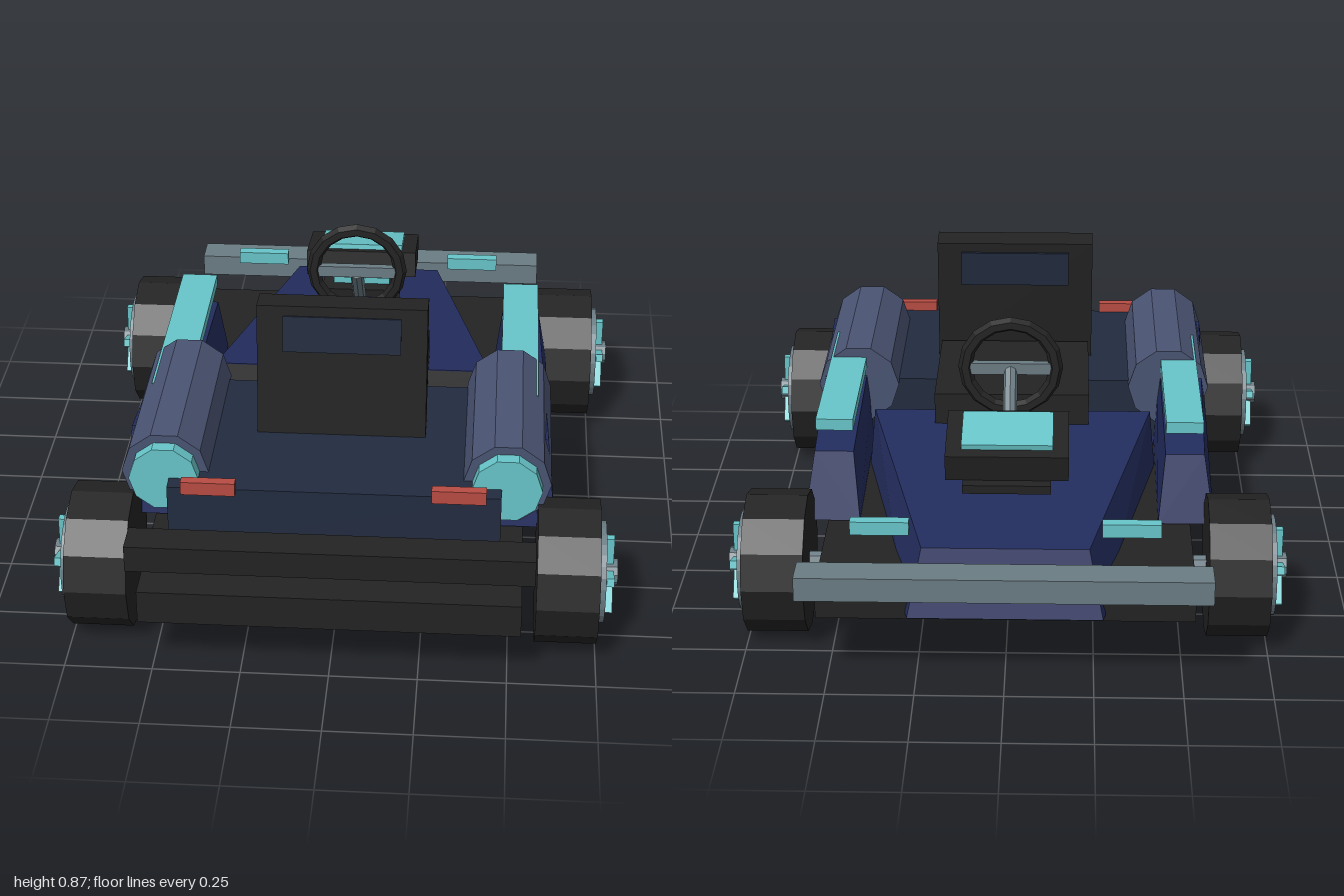
import * as THREE from 'three';
import { ConvexGeometry } from 'three/addons/geometries/ConvexGeometry.js';

const paint = (name, color) => {
  const m = new THREE.MeshStandardMaterial({ color, flatShading: true });
  m.name = name;
  return m;
};

export function createModel() {
  const black = paint('black', 0x232323);
  const navy = paint('navy', 0x232d5e);
  const slate = paint('darkSlate', 0x222c40);
  const steelBlue = paint('steelBlue', 0x4a5473);
  const teal = paint('teal', 0x68c6ca);
  const grey = paint('grey', 0x6b7c84);
  const red = paint('red', 0xb84c42);

  const kart = new THREE.Group();
  kart.name = 'kart';

  const add = (name, geometry, material, parent = kart) => {
    const mesh = new THREE.Mesh(geometry, material);
    mesh.name = name;
    parent.add(mesh);
    return mesh;
  };
  // Box given by its extents on each axis
  const box = (name, material, [x0, x1], [y0, y1], [z0, z1], parent) => {
    const mesh = add(name, new THREE.BoxGeometry(x1 - x0, y1 - y0, z1 - z0), material, parent);
    mesh.position.set((x0 + x1) / 2, (y0 + y1) / 2, (z0 + z1) / 2);
    return mesh;
  };
  const hull = (name, material, points) =>
    add(name, new ConvexGeometry(points.map((p) => new THREE.Vector3(...p))), material);
  const pair = (x, y, z) => [[-x, y, z], [x, y, z]];
  const span = (s, a, b) => (s > 0 ? [a, b] : [-b, -a]);

  // Chassis and bumpers
  box('floor', black, [-0.535, 0.535], [0.16, 0.26], [-0.85, 1]);
  box('rearBumper', black, [-0.57, 0.57], [0.305, 0.385], [0.865, 0.965]);
  box('frontBumper', grey, [-0.575, 0.575], [0.29, 0.36], [-1, -0.9]);

  // Bodywork
  hull('hood', navy, [
    ...pair(0.275, 0.18, -0.885), ...pair(0.235, 0.37, -0.825),
    ...pair(0.425, 0.44, 0), ...pair(0.45, 0.18, 0),
  ]);
  hull('dashboardBack', black, [
    ...pair(0.42, 0.437, 0), ...pair(0.42, 0.25, 0), ...pair(0.42, 0.25, 0.05),
  ]);
  box('rearDeckBase', navy, [-0.47, 0.47], [0.255, 0.285], [0.165, 0.78]);
  box('rearDeck', slate, [-0.47, 0.47], [0.285, 0.475], [0.165, 0.79]);

  for (const s of [1, -1]) {
    hull('sidePod', navy, [
      [s * 0.44, 0.265, -0.435], [s * 0.605, 0.265, -0.435],
      [s * 0.46, 0.46, -0.37], [s * 0.575, 0.46, -0.37],
      [s * 0.45, 0.265, 0.6], [s * 0.627, 0.265, 0.6],
      [s * 0.46, 0.53, 0.55], [s * 0.6, 0.53, 0.55],
    ]);
    box('sideLightStrip', teal, span(s, 0.46, 0.57), [0.525, 0.56], [-0.365, 0.35]);

    // Booster barrel with a glowing end
    const barrel = add('booster', new THREE.CylinderGeometry(0.125, 0.125, 0.57, 10), steelBlue);
    barrel.rotation.set(Math.PI / 2, Math.PI / 10 * 5, 0, 'XYZ');
    barrel.position.set(s * 0.485, 0.47, 0.415);
    const glow = add('boosterGlow', new THREE.CylinderGeometry(0.1, 0.1, 0.06, 10), teal);
    glow.rotation.copy(barrel.rotation);
    glow.position.set(s * 0.485, 0.47, 0.71);

    // Lamps
    box('headlight', teal, span(s, 0.27, 0.435), [0.4, 0.44], [-0.81, -0.775]);
    box('tailLight', red, span(s, 0.275, 0.428), [0.465, 0.505], [0.78, 0.81]);
  }

  // Seat
  box('seatCushion', black, [-0.235, 0.235], [0.4, 0.53], [-0.09, 0.36]);
  const backrest = new THREE.Group();
  backrest.name = 'backrest';
  backrest.position.set(0, 0.665, 0.407);
  backrest.rotation.x = -0.09;
  kart.add(backrest);
  box('backrestFrame', black, [-0.245, 0.245], [-0.21, 0.205], [-0.045, 0.045], backrest);
  box('backrestPanel', slate, [-0.17, 0.17], [0.065, 0.175], [-0.053, 0.05], backrest);

  // Steering
  const rim = add('steeringWheel', new THREE.TorusGeometry(0.135, 0.021, 6, 16), black);
  rim.position.set(0, 0.672, -0.213);
  box('steeringSpoke', grey, [-0.125, 0.125], [0.65, 0.685], [-0.225, -0.2]);
  const column = add('steeringColumn', new THREE.CylinderGeometry(0.021, 0.021, 0.37, 8), grey);
  column.position.set(0, 0.525, -0.335);
  column.rotation.x = 0.737;

  // Display console
  box('consoleShelf', black, [-0.125, 0.125], [0.475, 0.5], [-0.69, -0.41]);
  box('consoleLight', teal, [-0.09, 0.09], [0.5, 0.52], [-0.57, -0.455]);
  const console3 = new THREE.Group();
  console3.name = 'displayConsole';
  console3.position.set(0, 0.562, -0.545);
  console3.rotation.x = -0.19;
  kart.add(console3);
  box('consoleBody', black, [-0.175, 0.175], [-0.04, 0.04], [-0.118, 0.118], console3);
  box('consoleScreen', teal, [-0.13, 0.13], [0.04, 0.056], [-0.082, 0.09], console3);

  // Axles and wheels
  for (const z of [0.73, -0.58]) {
    const axle = add('axle', new THREE.CylinderGeometry(0.025, 0.025, 1.2, 8), grey);
    axle.rotation.z = Math.PI / 2;
    axle.position.set(0, 0.21, z);

    for (const s of [1, -1]) {
      // Local +z points outwards from the car
      const wheel = new THREE.Group();
      wheel.name = 'wheel';
      wheel.position.set(s * 0.575, 0.207, z);
      wheel.rotation.y = s * Math.PI / 2;
      kart.add(wheel);
      const disc = (name, r, z0, z1, sides, material) => {
        const g = new THREE.CylinderGeometry(r, r, z1 - z0, sides).rotateX(Math.PI / 2);
        add(name, g, material, wheel).position.z = (z0 + z1) / 2;
      };
      disc('tyre', 0.207, 0, 0.177, 12, black);
      const ring = new THREE.Shape().absarc(0, 0, 0.146, 0, Math.PI * 2);
      ring.holes.push(new THREE.Path().absarc(0, 0, 0.108, 0, Math.PI * 2, true));
      const ringGeometry = new THREE.ExtrudeGeometry(ring, { depth: 0.035, bevelEnabled: false, curveSegments: 14 });
      add('rim', ringGeometry, grey, wheel).position.z = 0.16;
      for (let i = 0; i < 5; i++) {
        const spoke = new THREE.BoxGeometry(0.024, 0.09, 0.022).translate(0, 0.072, 0.208);
        add('wheelSpoke', spoke, teal, wheel).rotation.z = i * Math.PI * 2 / 5;
      }
      disc('hub', 0.038, 0.17, 0.232, 10, grey);
    }
  }
  return kart;
}
